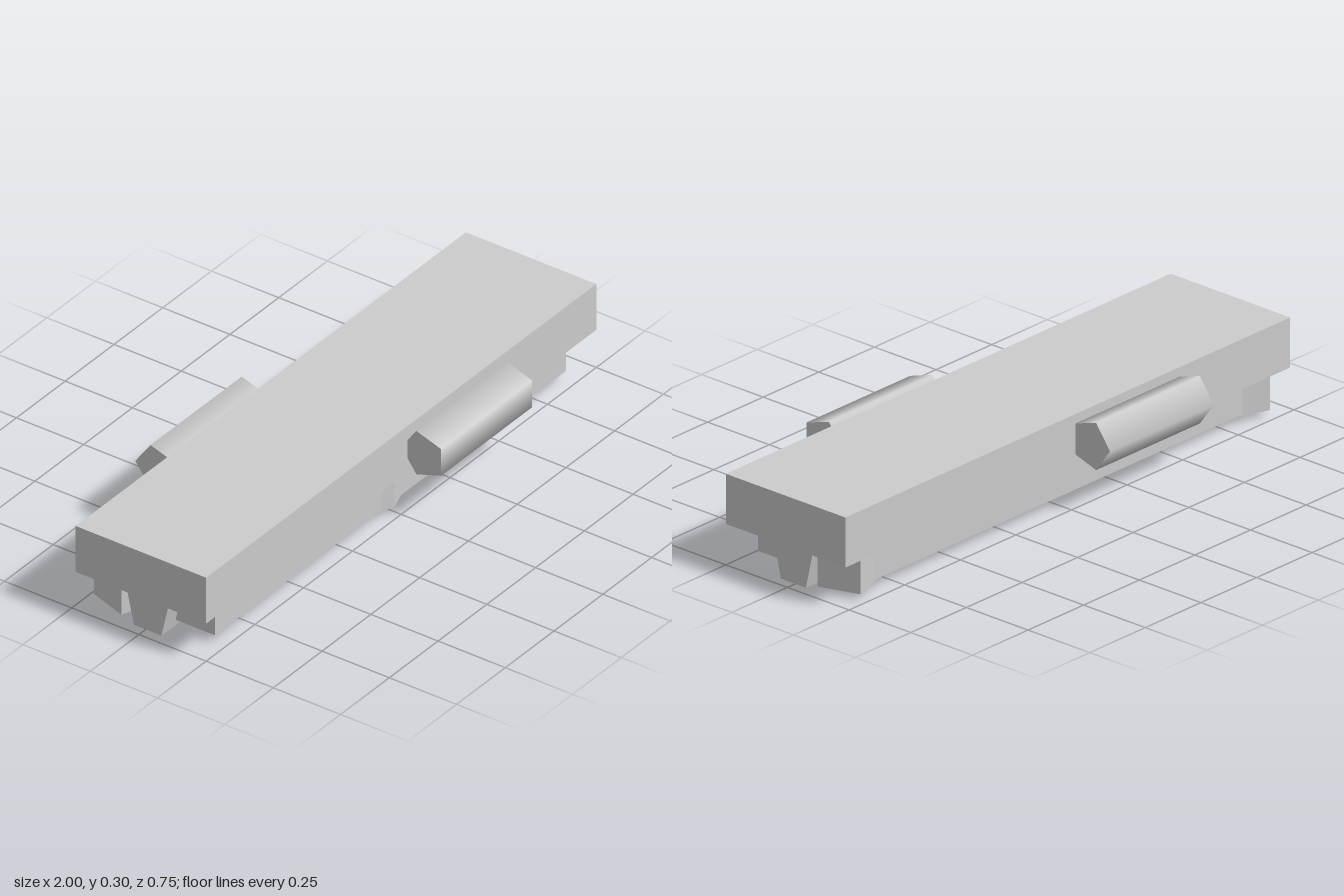
import * as THREE from 'three';

export function createModel() {
  const model = new THREE.Group();
  const grey = new THREE.MeshStandardMaterial({ color: 0xcccccc });
  grey.name = 'light grey';
  const midZ = 0.0075;

  const add = (name, geometry, x = 0, y = 0, z = 0) => {
    const mesh = new THREE.Mesh(geometry, grey);
    mesh.name = name;
    mesh.position.set(x, y, z);
    model.add(mesh);
  };

  const outline = (points) => new THREE.Shape(points.map(([x, y]) => new THREE.Vector2(x, y)));

  // Main slab and the narrower block beneath it
  add('slab', new THREE.BoxGeometry(2, 0.165, 0.485), 0, 0.2175, midZ);
  add('underBlock', new THREE.BoxGeometry(1.8, 0.113, 0.405), 0, 0.0815, midZ);

  // Tapered keel running lengthwise
  const keel = new THREE.ExtrudeGeometry(
    outline([[-0.051, 0], [0.051, 0], [0.082, 0.138], [-0.082, 0.138]]),
    { depth: 1.93, bevelEnabled: false }
  );
  keel.translate(0, 0, -0.965).rotateY(Math.PI / 2);
  add('keel', keel, 0, 0, midZ);

  // Chevron brace: two swept arms meeting at the front
  const brace = new THREE.ExtrudeGeometry(
    outline([[0, 0.225], [-0.965, -0.09], [-0.921, -0.225], [0, 0.076], [0.921, -0.225], [0.965, -0.09]]),
    { depth: 0.12, bevelEnabled: false }
  );
  brace.rotateX(Math.PI / 2);
  add('chevronBrace', brace, 0, 0.138, 0);

  // Five-sided rollers on the long sides, smooth around
  const roller = new THREE.CylinderGeometry(0.082, 0.082, 0.467, 5, 1, false, Math.PI);
  roller.rotateZ(Math.PI / 2);
  add('frontRoller', roller, 0.265, 0.218, 0.309);
  add('backRoller', roller, -0.268, 0.218, -0.293);

  return model;
}
